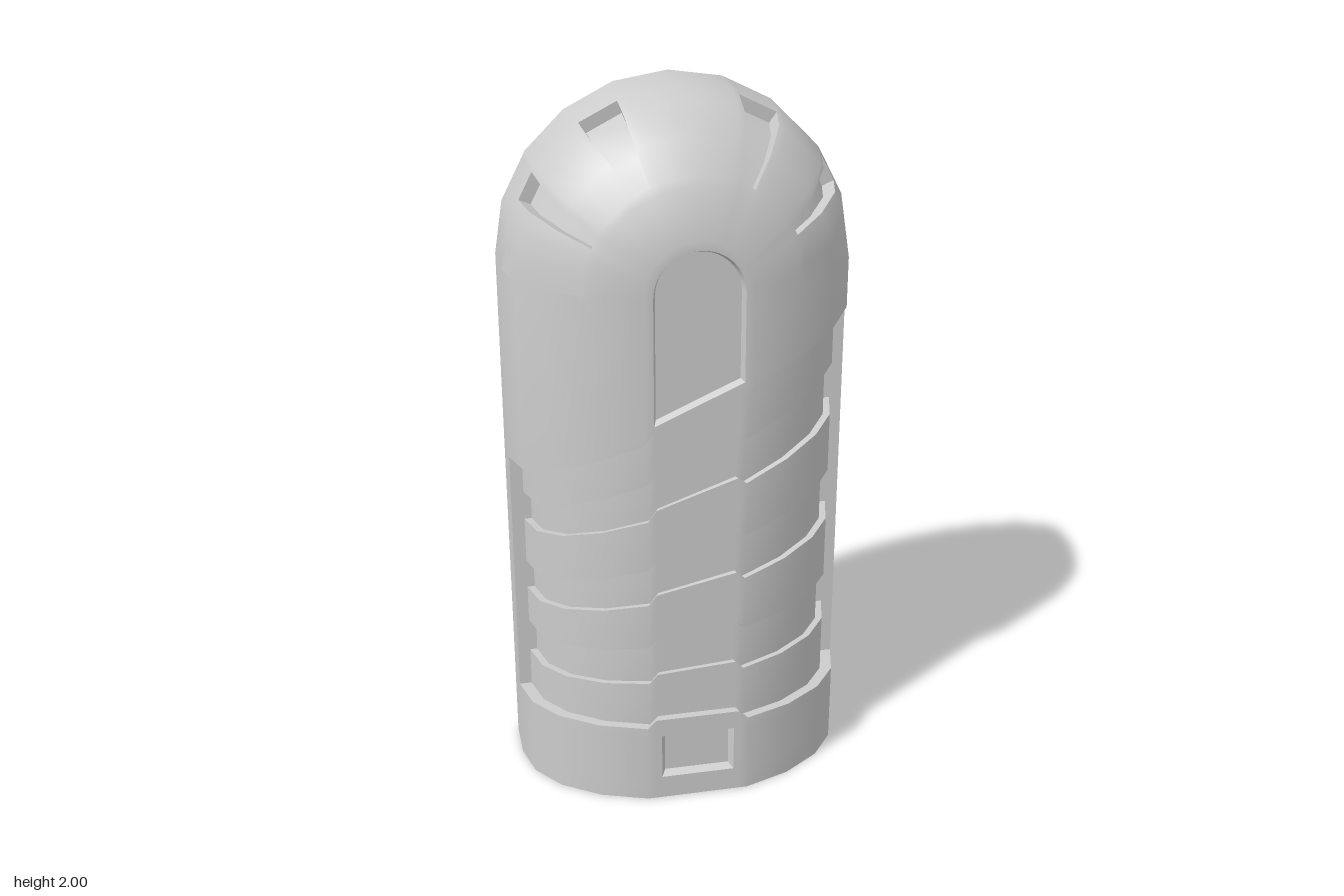
import * as THREE from 'three';
import { toCreasedNormals } from 'three/addons/utils/BufferGeometryUtils.js';

const ARCH_Y = 1.53;   // where the straight sides turn into the dome
const AXIS_Z = -0.08;  // recesses shrink the section towards this axis
const SCALE = { housing: 1, gripBands: 0.926, gripGrooves: 0.883, domeSlots: 0.925 };

// Half of the cross-section, from the chamfered back edge to the flat front
const PROFILE = [[0.435, -0.222], [0.47, -0.2], [0.47, -0.08], [0.445, 0.02],
  [0.38, 0.105], [0.275, 0.175], [0.145, 0.22], [0.12, 0.22]];
const FRONT_Z = 0.22;

const lerp = THREE.MathUtils.lerp;
const clamp = THREE.MathUtils.clamp;
const DEG = Math.PI / 180;

// z of the outer surface at distance r from the middle (front part only)
function frontZ(r) {
  for (let i = 3; i < PROFILE.length; i++) {
    const [ra, za] = PROFILE[i - 1], [rb, zb] = PROFILE[i];
    if (r >= rb) return lerp(za, zb, (ra - r) / (ra - rb));
  }
  return FRONT_Z;
}

const quad = (out, a, b, c, d) => out.push(...a, ...b, ...c, ...a, ...c, ...d);

// Grid of cells at different depths, with walls wherever neighbours differ.
// kind(i, j) names the part a cell belongs to, or null for an opening.
function reliefGrid(parts, ni, nj, point, kind) {
  const addWall = (p, q, a, b) => {
    if (!a || !b || a === b) return;
    const part = SCALE[a] < SCALE[b] ? a : b;
    quad(parts[part], point(...p, SCALE[a]), point(...q, SCALE[a]),
      point(...q, SCALE[b]), point(...p, SCALE[b]));
  };
  for (let i = 0; i < ni; i++) {
    for (let j = 0; j < nj; j++) {
      const k = kind(i, j);
      if (k) {
        const s = SCALE[k];
        quad(parts[k], point(i, j, s), point(i + 1, j, s), point(i + 1, j + 1, s), point(i, j + 1, s));
      }
      if (i > 0) addWall([i, j + 1], [i, j], kind(i - 1, j), k);
      if (j > 0) addWall([i, j], [i + 1, j], kind(i, j - 1), k);
    }
  }
}

// Slanted edge across the front, stepped up in the middle
const bump = x => 0.025 * clamp((0.145 - Math.abs(x)) / 0.025, 0, 1);
const slant = (left, right, lift = 0) => x => lerp(left, right, (x + 0.47) / 0.94) + bump(x) + lift;
const windowBottom = slant(0.98, 1.4, 0.015);
const PANEL = { x: 0.104, y0: 0.07, y1: 0.21 };

// Straight lower part: base, grip and the sides of the window
function addStraightPart(parts) {
  const right = [[PANEL.x, FRONT_Z], ...PROFILE.slice().reverse()];
  const cols = [...right.slice().reverse().map(([x, z]) => [-x, z]), ...right];
  const rows = [() => 0, () => PANEL.y0, () => PANEL.y1, slant(0.24, 0.24),
    slant(0.355, 0.415), slant(0.455, 0.565), slant(0.565, 0.75), slant(0.65, 0.905),
    slant(0.785, 1.08), slant(0.87, 1.235), slant(0.98, 1.4), windowBottom, () => ARCH_Y];
  const point = (i, j, s) => {
    const [x, z] = cols[i];
    return [x * s, rows[j](x), AXIS_Z + (z - AXIS_Z) * s];
  };
  const kind = (i, j) => {
    const x = Math.abs(cols[i][0] + cols[i + 1][0]) / 2;
    const front = cols[i][1] + cols[i + 1][1] > 2 * AXIS_Z;
    if (j === 1 && x < PANEL.x) return null;
    if (j === 11 && x < 0.12) return null;
    if (front && j >= 3 && j <= 9) return j % 2 ? 'gripBands' : 'gripGrooves';
    return 'housing';
  };
  // rows 4-5, 6-7 and 8-9 bound the grooves
  reliefGrid(parts, cols.length - 1, rows.length - 1, point, kind);
}

// Angular grid lines of the dome as [outer, inner] degrees; slots narrow inwards
const QUARTER = [[0, 0], [9, 9], [18, 18], [24.5, 25], [34.5, 31], [36, 36], [45, 45],
  [54, 54], [56, 58.5], [70, 67], [72, 72], [81, 81], [90, 90]];
const ANGLES = [...QUARTER, ...QUARTER.slice(0, -1).reverse().map(([a, b]) => [180 - a, 180 - b])];
const SLOT_R = [0.464, 0.295];

// Ten-sided dome: the section swept around the arch centre
function addDome(parts) {
  const rings = [...PROFILE, ...SLOT_R.map(r => [r, frontZ(r)])]
    .sort((a, b) => a[0] - b[0] || b[1] - a[1])
    .filter(([, z]) => z > -0.15);
  rings.push(PROFILE[1], PROFILE[0]);
  const point = (i, j, s) => {
    const [r, z] = rings[i];
    const t = clamp((SLOT_R[0] - r) / (SLOT_R[0] - SLOT_R[1]), 0, 1);
    const a = lerp(ANGLES[j][0], ANGLES[j][1], t);
    const chord = r > 0.13 ? Math.cos(9 * DEG) / Math.cos(((a % 18) - 9) * DEG) : 1;
    const R = r * chord * s;
    return [R * Math.cos(a * DEG), ARCH_Y + R * Math.sin(a * DEG), AXIS_Z + (z - AXIS_Z) * s];
  };
  const kind = (i, j) => {
    const r = (rings[i][0] + rings[i + 1][0]) / 2;
    const q = Math.min(j, ANGLES.length - 2 - j);
    const inSlot = (q === 3 || q === 8) && r < SLOT_R[0] && r > SLOT_R[1] && rings[i + 1][1] > -0.075;
    return inSlot ? 'domeSlots' : 'housing';
  };
  reliefGrid(parts, rings.length - 1, ANGLES.length - 1, point, kind);
}

// Flat back and underside
function addCaps(out) {
  const fan = pts => {
    for (let i = 1; i < pts.length - 1; i++) out.push(...pts[0], ...pts[i], ...pts[i + 1]);
  };
  const [bx, bz] = PROFILE[0];
  const back = [[bx, 0, bz]];
  for (let a = 0; a <= 180; a += 18) {
    back.push([bx * Math.cos(a * DEG), ARCH_Y + bx * Math.sin(a * DEG), bz]);
  }
  back.push([-bx, 0, bz]);
  fan(back.reverse());
  const half = PROFILE.slice(0, -1);
  fan([...half.map(([x, z]) => [-x, 0, z]), ...half.slice().reverse().map(([x, z]) => [x, 0, z])].reverse());
}

// Shallow niche in the flat front: sloped walls and a floor
function niche(outline, inner, depth) {
  const out = [];
  const at = ([x, y], z) => [x, y, z];
  const z = FRONT_Z - depth;
  outline.forEach((p, i) => {
    const k = (i + 1) % outline.length;
    quad(out, at(p, FRONT_Z), at(outline[k], FRONT_Z), at(inner[k], z), at(inner[i], z));
  });
  const pts = inner.map(p => new THREE.Vector2(...p));
  for (const face of THREE.ShapeUtils.triangulateShape(pts, [])) {
    for (const v of face) out.push(...at(inner[v], z));
  }
  return out;
}

function windowOutline(inset) {
  const r = 0.12 - inset;
  return [[-r, windowBottom(-r) + inset], [r, windowBottom(r) + inset],
    ...ANGLES.map(([, a]) => [r * Math.cos(a * DEG), ARCH_Y + r * Math.sin(a * DEG)])];
}

function panelOutline(inset) {
  const x = PANEL.x - inset, y0 = PANEL.y0 + inset, y1 = PANEL.y1 - inset;
  return [[-x, y0], [x, y0], [x, y1], [-x, y1]];
}

export function createModel() {
  const parts = { housing: [], gripBands: [], gripGrooves: [], domeSlots: [] };
  addStraightPart(parts);
  addDome(parts);
  addCaps(parts.housing);
  parts.archWindow = niche(windowOutline(0), windowOutline(0.008), 0.02);
  parts.basePanel = niche(panelOutline(0), panelOutline(0.012), 0.02);

  const group = new THREE.Group();
  const material = new THREE.MeshStandardMaterial({ color: 0xcccccc });
  for (const [name, positions] of Object.entries(parts)) {
    const geometry = new THREE.BufferGeometry();
    geometry.setAttribute('position', new THREE.Float32BufferAttribute(positions, 3));
    const mesh = new THREE.Mesh(toCreasedNormals(geometry, 0.6), material);
    mesh.name = name;
    group.add(mesh);
  }
  return group;
}
